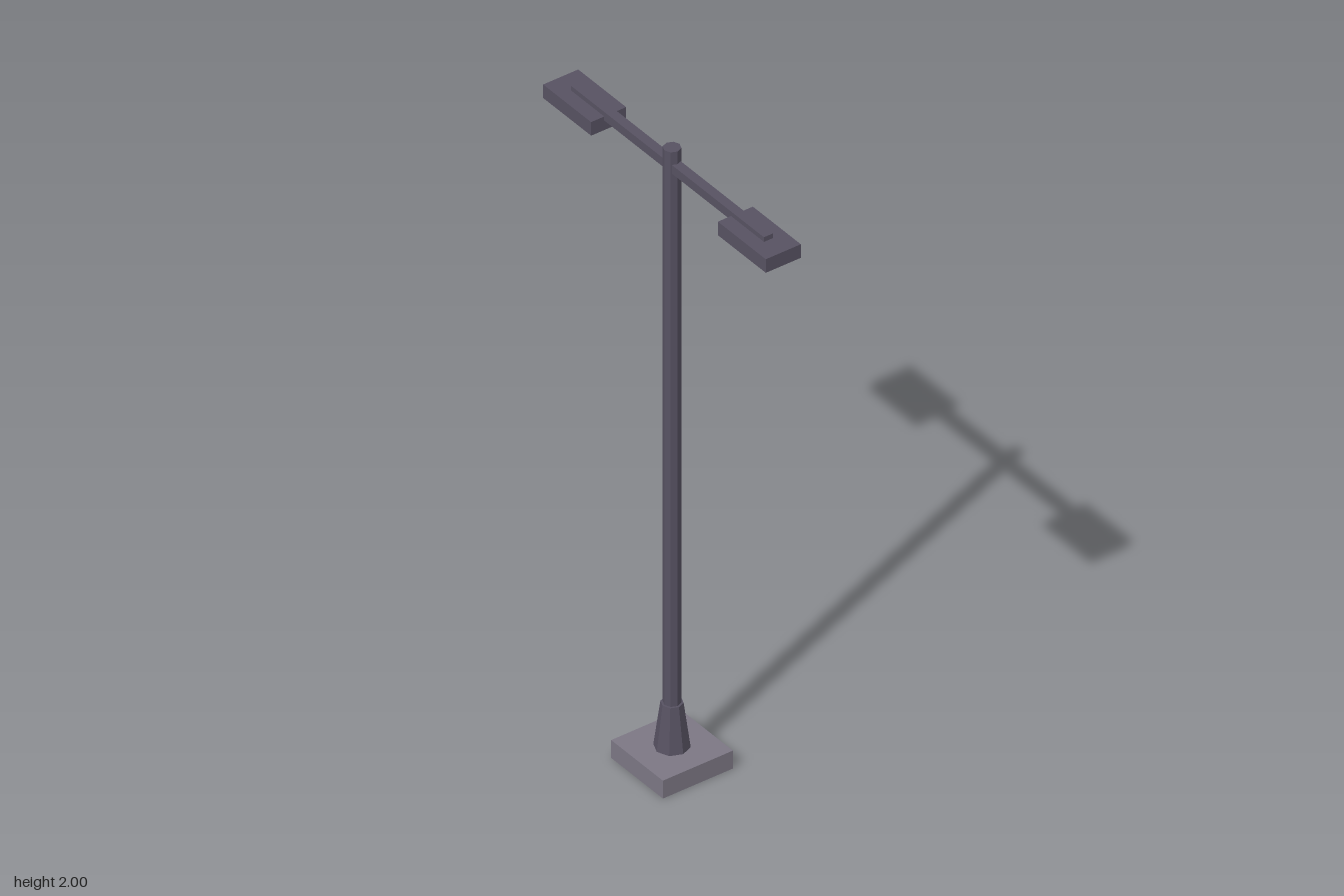
import * as THREE from 'three';

export function createModel() {
  const flat = (name, color) => {
    const m = new THREE.MeshStandardMaterial({ color });
    m.name = name;
    return m;
  };
  const metal = flat('dark metal', 0x575262);
  const concrete = flat('concrete', 0x7c7784);
  const glow = flat('warm lamp', 0xe0b072);

  const model = new THREE.Group();
  model.name = 'streetLight';

  const add = (parent, name, geometry, material, x, y, z = 0) => {
    const mesh = new THREE.Mesh(geometry, material);
    mesh.name = name;
    mesh.position.set(x, y, z);
    parent.add(mesh);
    return mesh;
  };
  // Flat-sided octagonal column with split normals
  const octagon = (top, bottom, height) => {
    const g = new THREE.CylinderGeometry(top, bottom, height, 8).toNonIndexed();
    g.computeVertexNormals();
    return g;
  };

  // Footing, tapered collar and pole
  add(model, 'footing', new THREE.BoxGeometry(0.23, 0.058, 0.23), concrete, 0, 0.029);
  add(model, 'collar', octagon(0.031, 0.05, 0.142), metal, 0, 0.129);
  add(model, 'pole', octagon(0.025, 0.025, 1.942), metal, 0, 1.029);

  // Cross arm carrying both lamps
  add(model, 'crossArm', new THREE.BoxGeometry(0.856, 0.028, 0.029), metal, 0, 1.945);

  // Lamp heads with glowing panels underneath
  for (const side of [1, -1]) {
    const lamp = new THREE.Group();
    lamp.name = side > 0 ? 'leftLamp' : 'rightLamp';
    lamp.position.set(side * 0.388, 0, 0);
    add(lamp, 'lampHousing', new THREE.BoxGeometry(0.213, 0.044, 0.115), metal, 0, 1.922);
    add(lamp, 'lampPanel', new THREE.BoxGeometry(0.156, 0.012, 0.082), glow, 0, 1.895);
    model.add(lamp);
  }
  return model;
}
